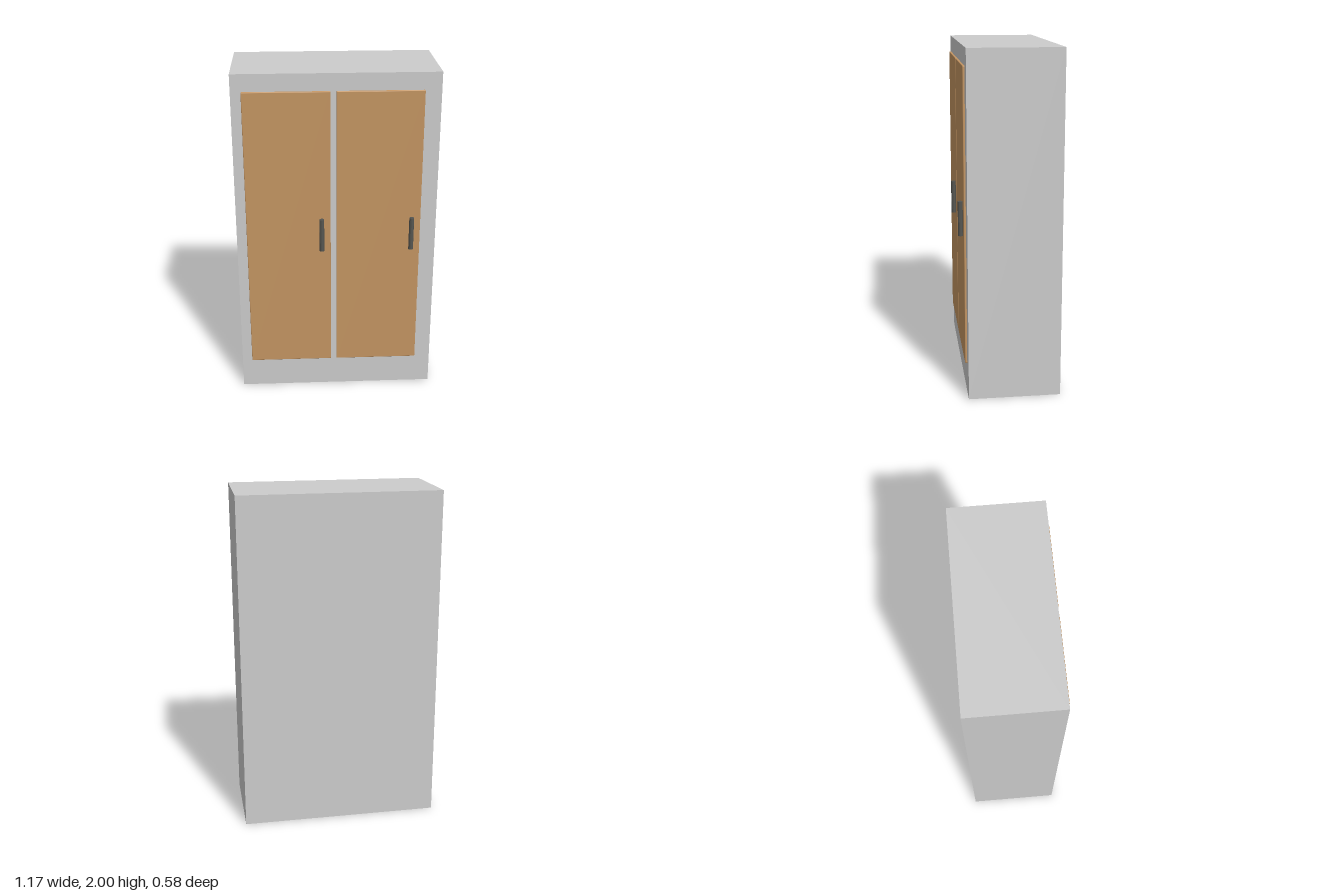
import * as THREE from 'three';
import { RoundedBoxGeometry } from 'three/addons/geometries/RoundedBoxGeometry.js';

export function createModel() {
  const group = new THREE.Group();
  const grey = new THREE.MeshStandardMaterial({ color: 0xcccccc });
  const wood = new THREE.MeshStandardMaterial({ color: 0xc49562 });
  const metal = new THREE.MeshStandardMaterial({ color: 0x555550, flatShading: true });

  const add = (name, geometry, material, x, y, z) => {
    const mesh = new THREE.Mesh(geometry, material);
    mesh.name = name;
    mesh.position.set(x, y, z);
    group.add(mesh);
  };

  // Cabinet body
  const front = 0.246, back = -0.288;
  add('cabinetBody', new THREE.BoxGeometry(1.17, 2, front - back), grey, 0, 1, (front + back) / 2);

  // Two doors with softened edges, each with an upright bar handle near its +x edge
  const doorWidth = 0.492, doorHeight = 1.716, doorDepth = 0.024;
  const doorGeometry = new RoundedBoxGeometry(doorWidth, doorHeight, doorDepth, 3, 0.004);
  const handleGeometry = new THREE.CylinderGeometry(0.0143, 0.0143, 0.2, 12);
  for (const [side, x] of [['right', -0.28], ['left', 0.246]]) {
    add(side + 'Door', doorGeometry, wood, x, 1.042, front);
    add(side + 'Handle', handleGeometry, metal, x + 0.193, 1.042, 0.273);
  }
  return group;
}
